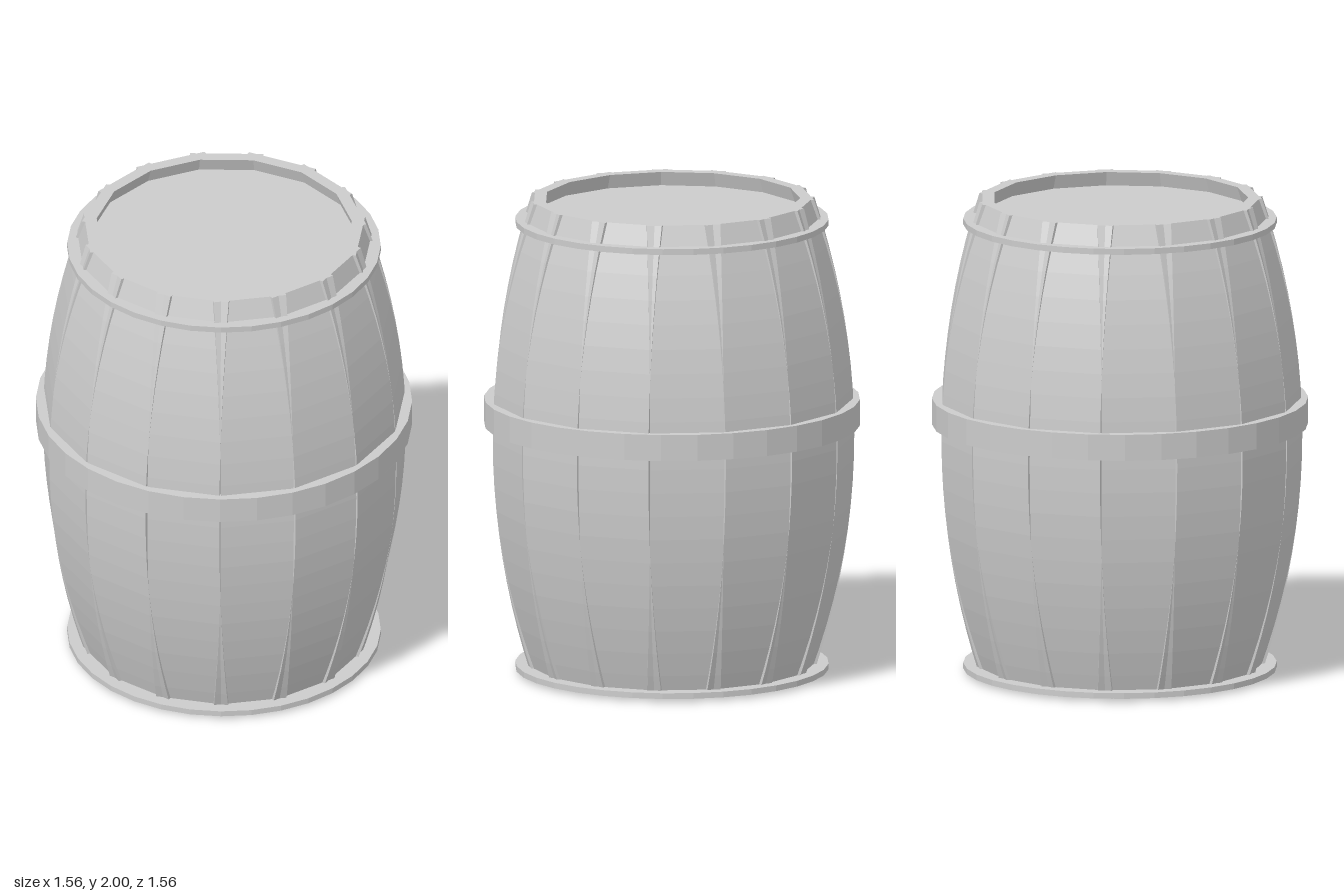
import * as THREE from 'three';

const STAVES = 15;
const HEIGHT = 2;
const STAVE_WIDTH = 0.306;
const STAVE_DEPTH = 0.05;

// Distance from the axis to a stave's outer face: widest at mid height.
const bulge = (y) => 0.74 - 0.17 * (y - 1) ** 2;

const material = new THREE.MeshStandardMaterial({ color: 0xcccccc, flatShading: true });

// A plank of constant width bent along the bulge; ends meet with overlap, the middle leaves a slit.
function staveGeometry() {
  const geometry = new THREE.BoxGeometry(STAVE_WIDTH, HEIGHT, STAVE_DEPTH, 1, 20, 1);
  geometry.translate(0, HEIGHT / 2, -STAVE_DEPTH / 2);
  const p = geometry.attributes.position;
  for (let i = 0; i < p.count; i++) p.setZ(i, p.getZ(i) + bulge(p.getY(i)));
  geometry.computeVertexNormals();
  return geometry;
}

// Flat band with a rectangular section.
function hoop(name, inner, outer, bottom, top) {
  const section = [
    [inner, bottom], [outer, bottom], [outer, top], [inner, top], [inner, bottom],
  ].map(([r, y]) => new THREE.Vector2(r, y));
  const mesh = new THREE.Mesh(new THREE.LatheGeometry(section, 32), material);
  mesh.name = name;
  return mesh;
}

// Round board closing one end.
function head(name, radius, bottom, top) {
  const mesh = new THREE.Mesh(new THREE.CylinderGeometry(radius, radius, top - bottom, 32), material);
  mesh.position.y = (bottom + top) / 2;
  mesh.name = name;
  return mesh;
}

export function createModel() {
  const barrel = new THREE.Group();
  barrel.name = 'barrel';

  // Ring of staves, with a joint facing the front and a flat at the back
  const staves = new THREE.Group();
  staves.name = 'staves';
  const geometry = staveGeometry();
  for (let i = 0; i < STAVES; i++) {
    const stave = new THREE.Mesh(geometry, material);
    stave.name = `stave${i + 1}`;
    stave.rotation.y = ((i + 0.5) / STAVES) * Math.PI * 2;
    staves.add(stave);
  }
  barrel.add(staves);

  // Recessed lid and nearly flush base
  barrel.add(head('lid', 0.555, 1.9, 1.94));
  barrel.add(head('base', 0.555, 0.004, 0.04));

  // Hoops
  barrel.add(hoop('bottomHoop', 0.56, 0.65, 0.012, 0.036));
  barrel.add(hoop('middleHoop', 0.72, 0.78, 1.045, 1.155));
  barrel.add(hoop('topHoop', 0.57, 0.65, 1.89, 1.915));

  return barrel;
}
